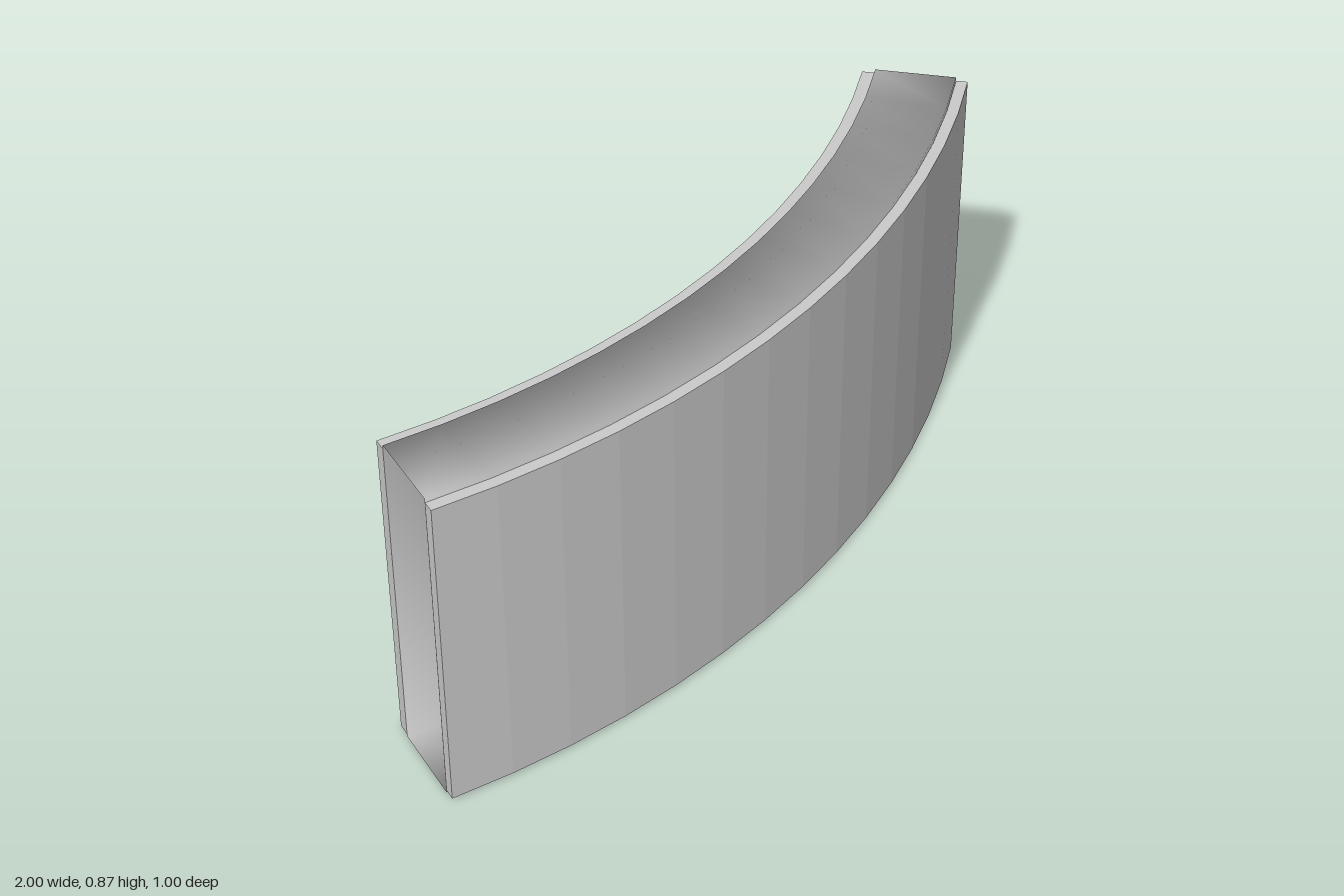
import * as THREE from 'three';

const CX = -0.88, CZ = -2.087;      // centre of the bend
const START = -0.046, END = 0.8135; // angles of the two ends
const SEGMENTS = 14;

// Sweeps a rectangular section (radius and height ranges) around the bend.
function sweepRect(r0, r1, y0, y1, capped) {
  const section = [[r0, y0], [r1, y0], [r1, y1], [r0, y1]];
  const positions = [], index = [];
  for (let i = 0; i <= SEGMENTS; i++) {
    const a = START + (END - START) * i / SEGMENTS;
    for (const [r, y] of section) {
      positions.push(CX + r * Math.sin(a), y, CZ + r * Math.cos(a));
    }
  }
  for (let i = 0; i < SEGMENTS; i++) {
    for (let j = 0; j < 4; j++) {
      const a = i * 4 + j, b = i * 4 + (j + 1) % 4;
      index.push(a, a + 4, b + 4, a, b + 4, b);
    }
  }
  if (capped) {
    const e = SEGMENTS * 4;
    index.push(0, 1, 2, 0, 2, 3, e, e + 2, e + 1, e, e + 3, e + 2);
  }
  const geometry = new THREE.BufferGeometry();
  geometry.setAttribute('position', new THREE.Float32BufferAttribute(positions, 3));
  geometry.setIndex(index);
  geometry.computeVertexNormals();
  return geometry;
}

export function createModel() {
  const group = new THREE.Group();
  group.name = 'curvedWall';
  const add = (name, geometry, options) => {
    const material = new THREE.MeshStandardMaterial({ color: 0xcccccc, ...options });
    const mesh = new THREE.Mesh(geometry, material);
    mesh.name = name;
    group.add(mesh);
  };

  // Thin solid panels on the front and back of the bend
  add('frontPanel', sweepRect(2.557, 2.587, 0.007, 0.855, true), { flatShading: true });
  add('backPanel', sweepRect(2.311, 2.344, 0.007, 0.855, true), { flatShading: true });

  // Hollow core, open at both ends, softly shaded across its corners
  add('hollowCore', sweepRect(2.345, 2.556, 0, 0.865, false), { side: THREE.DoubleSide });

  return group;
}
